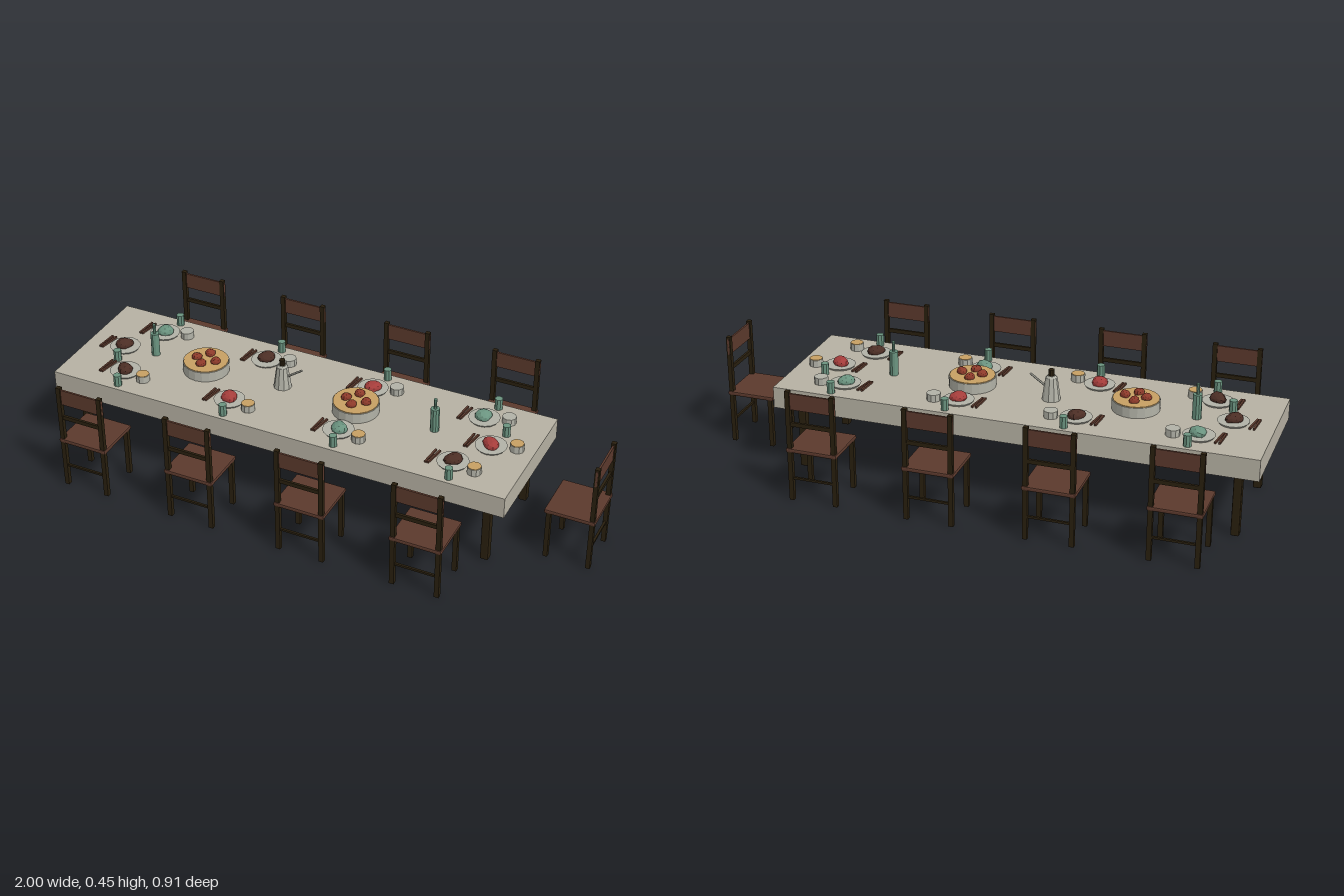
import * as THREE from 'three';
import { RoundedBoxGeometry } from 'three/addons/geometries/RoundedBoxGeometry.js';

const mat = (name, color, side = THREE.FrontSide) => {
  const m = new THREE.MeshStandardMaterial({ color, side, flatShading: true });
  m.name = name;
  return m;
};

export function createModel() {
  const model = new THREE.Group();
  model.name = 'diningSet';
  const cloth = mat('tablecloth', 0xb6b1a3, THREE.DoubleSide);
  const darkWood = mat('darkWood', 0x291f0e);
  const brownWood = mat('brownWood', 0x5b392c);
  const porcelain = mat('porcelain', 0xb2b2a7);
  const jade = mat('jade', 0x6b9480);
  const tan = mat('tan', 0xc7a063);
  const red = mat('red', 0xa53d3b);
  const meat = mat('meat', 0x4c2e25);
  const dumplingRed = mat('dumplingRed', 0x8d3a2a);
  const TOP = 0.323;

  const add = (parent, name, geo, material, x, y, z) => {
    const m = new THREE.Mesh(geo, material);
    m.name = name;
    m.position.set(x, y, z);
    parent.add(m);
    return m;
  };
  const box = (p, name, w, h, d, m, x, y, z) =>
    add(p, name, new THREE.BoxGeometry(w, h, d), m, x, y, z);
  const softBox = (p, name, w, h, d, r, m, x, y, z) =>
    add(p, name, new RoundedBoxGeometry(w, h, d, 1, r), m, x, y, z);
  // Cylinder standing on height y
  const cyl = (p, name, rTop, rBase, h, n, m, x, y, z) =>
    add(p, name, new THREE.CylinderGeometry(rTop, rBase, h, n), m, x, y + h / 2, z);
  const group = (name, x = 0, y = 0, z = 0) => {
    const g = new THREE.Group();
    g.name = name;
    g.position.set(x, y, z);
    model.add(g);
    return g;
  };

  // Table: cloth with hanging skirt, dark slab beneath, four legs
  const table = group('table', -0.1325);
  const L = 1.735, W = 0.504, drop = 0.078;
  const clothTop = add(table, 'clothTop', new THREE.PlaneGeometry(L, W), cloth, 0, TOP, 0);
  clothTop.rotation.x = -Math.PI / 2;
  for (const s of [-1, 1]) {
    add(table, 'clothSide', new THREE.PlaneGeometry(L, drop), cloth, 0, TOP - drop / 2, s * W / 2)
      .rotation.y = s > 0 ? 0 : Math.PI;
    add(table, 'clothEnd', new THREE.PlaneGeometry(W, drop), cloth, s * L / 2, TOP - drop / 2, 0)
      .rotation.y = s * Math.PI / 2;
    for (const t of [-1, 1])
      softBox(table, 'tableLeg', 0.03, 0.295, 0.03, 0.005, darkWood, s * 0.7875, 0.1475, t * 0.183);
  }
  box(table, 'tabletop', L - 0.006, 0.045, W - 0.006, darkWood, 0, 0.2975, 0);

  // Chair built with its back toward +z, seat centre at the origin
  const chair = (x, z, turn) => {
    const c = group('chair', x, 0, z);
    c.rotation.y = turn;
    softBox(c, 'seat', 0.188, 0.016, 0.18, 0.005, brownWood, 0, 0.192, 0);
    for (const s of [-1, 1]) {
      box(c, 'backPost', 0.017, 0.413, 0.016, darkWood, s * 0.0815, 0.2065, 0.078);
      box(c, 'frontLeg', 0.017, 0.186, 0.016, darkWood, s * 0.0815, 0.093, -0.0745);
    }
    box(c, 'backBoard', 0.1815, 0.06, 0.007, brownWood, 0, 0.375, 0.078);
    box(c, 'backSlat', 0.15, 0.015, 0.009, darkWood, 0, 0.29, 0.078);
    box(c, 'lowerRung', 0.15, 0.008, 0.008, darkWood, 0, 0.084, 0.078);
  };
  const columns = [-0.77, -0.345, 0.08, 0.505];
  for (const x of columns) {
    chair(x, 0.363, 0);
    chair(x, -0.363, Math.PI);
  }
  chair(0.91, 0, Math.PI / 2);

  // Irregular lump of food, bent by a simple wave rule
  const lump = (p, name, r, flat, m, x, y, z, seed) => {
    const g = new THREE.IcosahedronGeometry(r, 1);
    const a = g.attributes.position;
    for (let i = 0; i < a.count; i++) {
      const v = new THREE.Vector3().fromBufferAttribute(a, i);
      v.multiplyScalar(1 + 0.2 * Math.sin(v.x / r * 2 + seed) * Math.cos(v.z / r * 2 + seed * 2));
      a.setXYZ(i, v.x, v.y * flat, v.z);
    }
    g.computeVertexNormals();
    add(p, name, g, m, x, y, z);
  };

  // Place settings: plate, food, chopsticks, cup and (optionally) a small bowl
  const setting = (x, z, food, cupX, cupZ, seed) => {
    const s = group('placeSetting', x, TOP, z);
    cyl(s, 'plate', 0.056, 0.05, 0.008, 16, porcelain, 0, 0, 0);
    lump(s, 'food', 0.03, 0.68, food, 0, 0.014, 0, seed);
    for (const k of [-1, 1])
      box(s, 'chopstick', 0.007, 0.007, 0.08, brownWood, -0.075 + k * 0.006, 0.004, 0)
        .rotation.y = -0.12 - k * 0.04;
    cyl(s, 'cup', 0.0145, 0.0145, 0.042, 8, jade, cupX, 0, cupZ);
    return s;
  };
  const bowl = (s, z, filling) => {
    cyl(s, 'smallBowl', 0.025, 0.025, 0.026, 10, porcelain, 0.085, 0, z);
    if (filling) cyl(s, 'bowlFilling', 0.0235, 0.0235, 0.002, 10, filling, 0.085, 0.026, z);
  };
  const backFood = [jade, meat, red, jade], frontFood = [meat, red, jade, meat];
  columns.forEach((x, i) => {
    bowl(setting(x, -0.143, backFood[i], 0.02, -0.082, i), -0.018);
    bowl(setting(x, 0.14, frontFood[i], 0.02, 0.085, i + 4), 0.02, tan);
  });
  setting(-0.855, 0, meat, 0.02, 0.085, 9);
  bowl(setting(0.587, 0, red, 0.022, -0.085, 10), -0.022, tan);

  // Two round serving dishes with four dumplings each
  for (const x of [-0.515, 0.08]) {
    const d = group('servingDish', x, TOP, 0);
    cyl(d, 'dishBody', 0.084, 0.084, 0.038, 20, porcelain, 0, 0, 0);
    cyl(d, 'dishFilling', 0.081, 0.081, 0.003, 20, tan, 0, 0.038, 0);
    for (let i = 0; i < 4; i++) {
      const a = i * Math.PI / 2;
      lump(d, 'dumpling', 0.018, 0.9, dumplingRed, 0.037 * Math.cos(a), 0.046, 0.037 * Math.sin(a), i);
    }
  }

  // Bottles
  for (const x of [-0.73, 0.375]) {
    const b = group('bottle', x, TOP, -0.008);
    cyl(b, 'bottleBody', 0.016, 0.016, 0.09, 10, jade, 0, 0, 0);
    cyl(b, 'bottleNeck', 0.006, 0.006, 0.038, 8, jade, 0, 0.09, 0);
  }

  // Tall pot with dark knob and slanted spout
  const pot = group('pot', -0.218, TOP, -0.023);
  cyl(pot, 'potBody', 0.021, 0.033, 0.083, 10, porcelain, 0, 0, 0);
  cyl(pot, 'potLid', 0.014, 0.02, 0.007, 10, porcelain, 0, 0.083, 0);
  cyl(pot, 'lidKnob', 0.011, 0.011, 0.022, 8, darkWood, 0, 0.09, 0);
  add(pot, 'spout', new THREE.CylinderGeometry(0.004, 0.004, 0.072, 6), porcelain, 0.048, 0.066, 0)
    .rotation.z = -0.96;

  return model;
}
